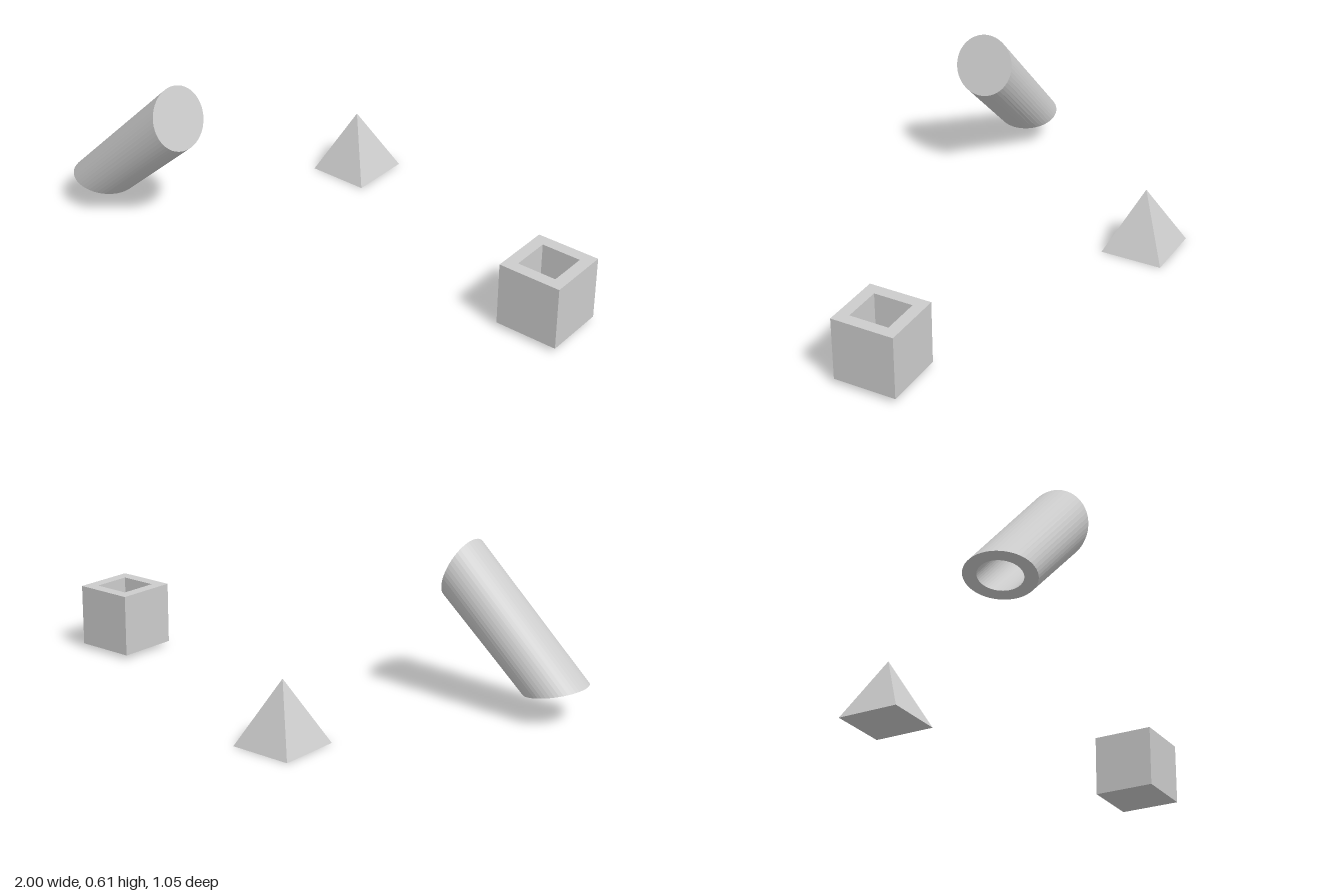
import * as THREE from 'three';

const material = new THREE.MeshStandardMaterial({ color: 0xcccccc, flatShading: true });

function addMesh(parent, name, geometry, x = 0, y = 0, z = 0) {
  const mesh = new THREE.Mesh(geometry, material);
  mesh.name = name;
  mesh.position.set(x, y, z);
  parent.add(mesh);
  return mesh;
}

// Square outline centred on the origin
function square(size, Type) {
  const h = size / 2;
  return new Type([[-h, -h], [h, -h], [h, h], [-h, h]].map(([x, y]) => new THREE.Vector2(x, y)));
}

// Leaning tube: two tilted circles joined by straight lines, hollow from below
function leaningTube(sides = 48) {
  const ends = [
    { c: [-0.882, 0.115, 0.403], u: [0.978, -0.208, 0], v: [0, 0.03, 1] },
    { c: [-0.482, 0.493, 0.387], u: [0.353, -0.935, 0], v: [0, 0, 1] },
  ].map(e => ({
    c: new THREE.Vector3(...e.c),
    u: new THREE.Vector3(...e.u).normalize(),
    v: new THREE.Vector3(...e.v).normalize(),
  }));
  const onCircle = (end, r, a) => end.c.clone()
    .addScaledVector(end.u, r * Math.cos(a))
    .addScaledVector(end.v, r * Math.sin(a));

  // Radius and position along the tube: bore floor, bore, rim, outside, lid
  const profile = [[0, 0.8], [0.075, 0.8], [0.075, 0], [0.12, 0], [0.12, 1], [0, 1]];
  const positions = [], index = [];
  profile.forEach(([r, t], i) => {
    for (let j = 0; j < sides; j++) {
      const a = (j / sides) * Math.PI * 2;
      positions.push(...onCircle(ends[0], r, a).lerp(onCircle(ends[1], r, a), t).toArray());
      if (i === profile.length - 1) continue;
      const p = i * sides + j, q = i * sides + (j + 1) % sides;
      if (r > 0) index.push(p, p + sides, q);
      if (profile[i + 1][0] > 0) index.push(q, p + sides, q + sides);
    }
  });
  const geometry = new THREE.BufferGeometry();
  geometry.setAttribute('position', new THREE.Float32BufferAttribute(positions, 3));
  geometry.setIndex(index);
  const flat = geometry.toNonIndexed();
  flat.computeVertexNormals();
  return flat;
}

export function createModel() {
  const model = new THREE.Group();
  model.name = 'solids';

  addMesh(model, 'leaningTube', leaningTube());

  // Square pyramid
  const pyramid = new THREE.ConeGeometry(0.12 * Math.SQRT2, 0.24, 4, 1);
  pyramid.rotateY(Math.PI / 4);
  addMesh(model, 'pyramid', pyramid, -0.295, 0.12, -0.405);

  // Cube with a square pocket in its top
  const cube = new THREE.Group();
  cube.name = 'hollowCube';
  cube.position.set(0.88, 0.016, 0.014);
  model.add(cube);
  const size = 0.24, floor = 0.048;
  const outline = square(size, THREE.Shape);
  outline.holes.push(square(0.15, THREE.Path));
  const walls = new THREE.ExtrudeGeometry(outline, { depth: size - floor, bevelEnabled: false });
  walls.rotateX(-Math.PI / 2);
  addMesh(cube, 'cubeWalls', walls, 0, floor, 0);
  addMesh(cube, 'cubeFloor', new THREE.BoxGeometry(size, floor, size), 0, floor / 2, 0);

  return model;
}
